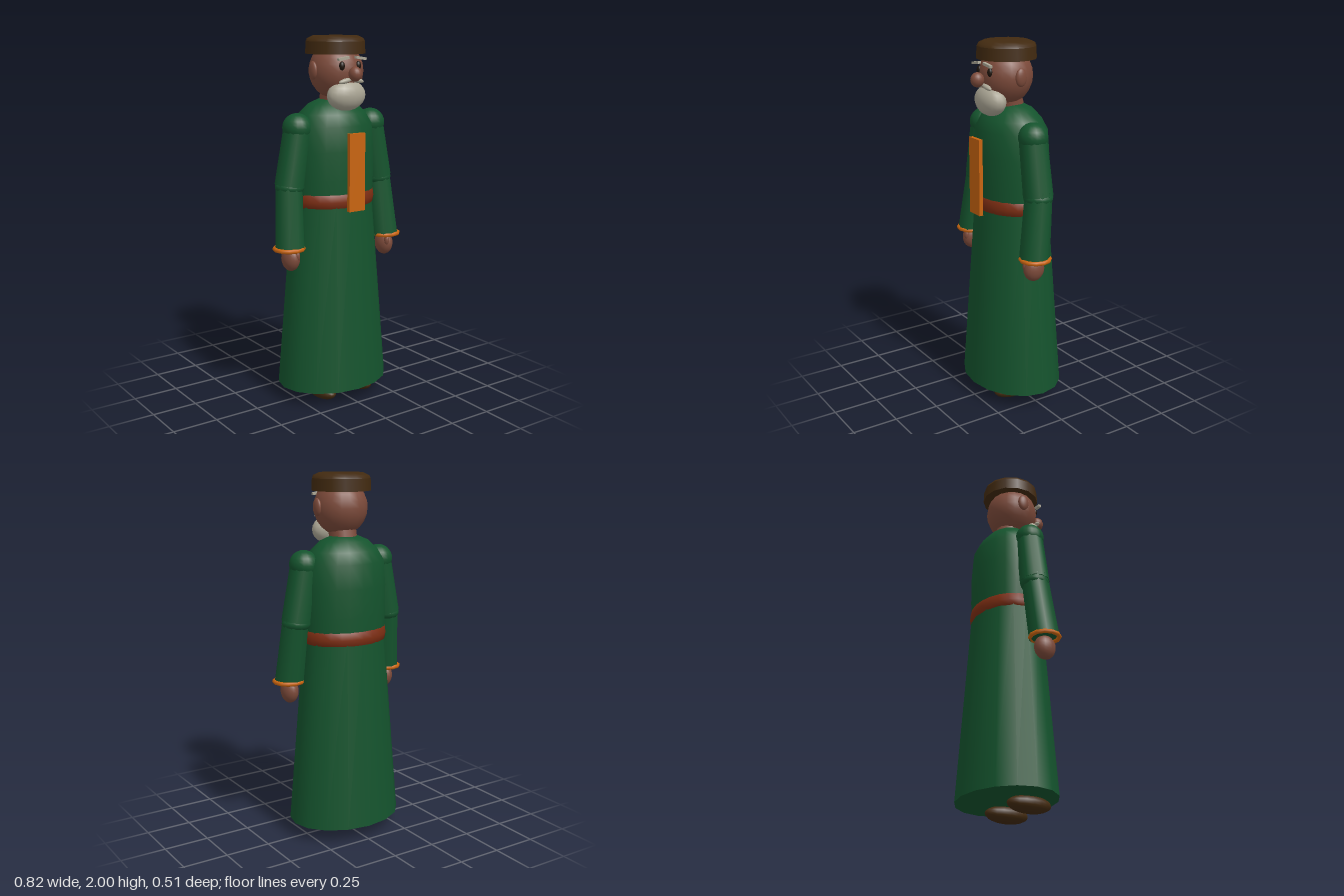
import * as THREE from 'three';

const V = (x, y, z) => new THREE.Vector3(x, y, z);

export function createModel() {
  const group = new THREE.Group();
  const mat = (name, color) => {
    const m = new THREE.MeshStandardMaterial({ color });
    m.name = name;
    return m;
  };
  const green = mat('robe green', 0x14532d);
  const rust = mat('belt rust', 0x7c2d12);
  const orange = mat('trim orange', 0xc8640f);
  const skin = mat('skin brown', 0x7c4a3a);
  const brown = mat('dark brown', 0x422a10);
  const grey = mat('hair grey', 0xaaa594);
  const dark = mat('eye dark', 0x1e140c);

  const add = (name, geo, material, x = 0, y = 0, z = 0) => {
    const mesh = new THREE.Mesh(geo, material);
    mesh.name = name;
    mesh.position.set(x, y, z);
    group.add(mesh);
    return mesh;
  };
  const ball = (name, material, x, y, z, rx, ry, rz) => {
    const mesh = add(name, new THREE.SphereGeometry(1, 18, 12), material, x, y, z);
    mesh.scale.set(rx, ry, rz);
    return mesh;
  };
  const lathe = (name, material, pts, segments, depth = 1) => {
    const geo = new THREE.LatheGeometry(pts.map(p => new THREE.Vector2(...p)), segments);
    const mesh = add(name, geo, material);
    mesh.scale.z = depth;
    return mesh;
  };
  // tapered limb running between two points
  const limb = (name, material, a, b, ra, rb, segments) => {
    const dir = a.clone().sub(b);
    const mesh = add(name, new THREE.CylinderGeometry(ra, rb, dir.length(), segments), material);
    mesh.position.copy(a).add(b).multiplyScalar(0.5);
    mesh.quaternion.setFromUnitVectors(V(0, 1, 0), dir.normalize());
    return mesh;
  };

  // robe
  const skirt = add('skirt', new THREE.CylinderGeometry(0.237, 0.326, 1.04, 16), green, 0, 0.6, 0);
  skirt.scale.z = 0.782;
  lathe('torso', green, [[0.236, 1.1], [0.243, 1.25], [0.243, 1.4], [0.232, 1.53],
    [0.195, 1.59], [0.14, 1.64], [0.08, 1.665], [0, 1.668]], 20, 0.77);
  lathe('belt', rust, [[0.22, 1.09], [0.239, 1.098], [0.245, 1.13],
    [0.239, 1.168], [0.22, 1.176]], 24, 0.785);
  add('frontSash', new THREE.BoxGeometry(0.1, 0.415, 0.022), orange, 0, 1.292, 0.222);

  // head
  limb('neck', skin, V(0, 1.74, 0.03), V(0, 1.62, 0), 0.075, 0.075, 14);
  ball('head', skin, 0, 1.815, 0.035, 0.147, 0.15, 0.145);
  ball('nose', skin, 0, 1.805, 0.208, 0.034, 0.039, 0.037);
  ball('beard', grey, 0, 1.69, 0.13, 0.115, 0.081, 0.068);

  // flat cap
  add('capBand', new THREE.CylinderGeometry(0.157, 0.16, 0.065, 14), brown, 0, 1.936, 0.028);
  lathe('capTop', brown, [[0.157, 1.967], [0.15, 1.983], [0.12, 1.997], [0, 2]], 14).position.z = 0.028;

  for (const s of [-1, 1]) {
    const side = s > 0 ? 'left' : 'right';

    // face
    ball(side + 'Ear', skin, s * 0.147, 1.82, 0.035, 0.018, 0.048, 0.033);
    ball(side + 'Eye', dark, s * 0.052, 1.845, 0.163, 0.016, 0.023, 0.014);
    const brow = add(side + 'Brow', new THREE.BoxGeometry(0.066, 0.014, 0.018), grey, s * 0.055, 1.884, 0.18);
    brow.rotation.z = -s * 0.15;
    const tache = ball(side + 'Moustache', grey, s * 0.038, 1.769, 0.175, 0.042, 0.013, 0.015);
    tache.rotation.z = -s * 0.2;

    // sleeve
    const shoulder = V(s * 0.237, 1.525, 0.022), elbow = V(s * 0.29, 1.22, 0.022);
    const wrist = V(s * 0.315, 0.89, 0.06);
    ball(side + 'Shoulder', green, s * 0.24, 1.525, 0.022, 0.079, 0.077, 0.079);
    limb(side + 'UpperSleeve', green, shoulder, elbow, 0.074, 0.08, 12);
    ball(side + 'Elbow', green, elbow.x, 1.215, 0.022, 0.079, 0.05, 0.079);
    limb(side + 'LowerSleeve', green, V(s * 0.292, 1.25, 0.02), wrist, 0.072, 0.081, 10);
    const cuff = add(side + 'Cuff', new THREE.TorusGeometry(0.077, 0.012, 8, 12), orange, s * 0.321, 0.891, 0.06);
    cuff.rotation.x = Math.PI / 2;

    // hand and shoe
    ball(side + 'Hand', skin, s * 0.314, 0.835, 0.063, 0.046, 0.067, 0.06);
    ball(side + 'Thumb', skin, s * 0.3, 0.855, 0.108, 0.015, 0.028, 0.016);
    ball(side + 'Shoe', brown, s * 0.123, 0.046, 0.065, 0.061, 0.046, 0.124);
  }
  return group;
}
